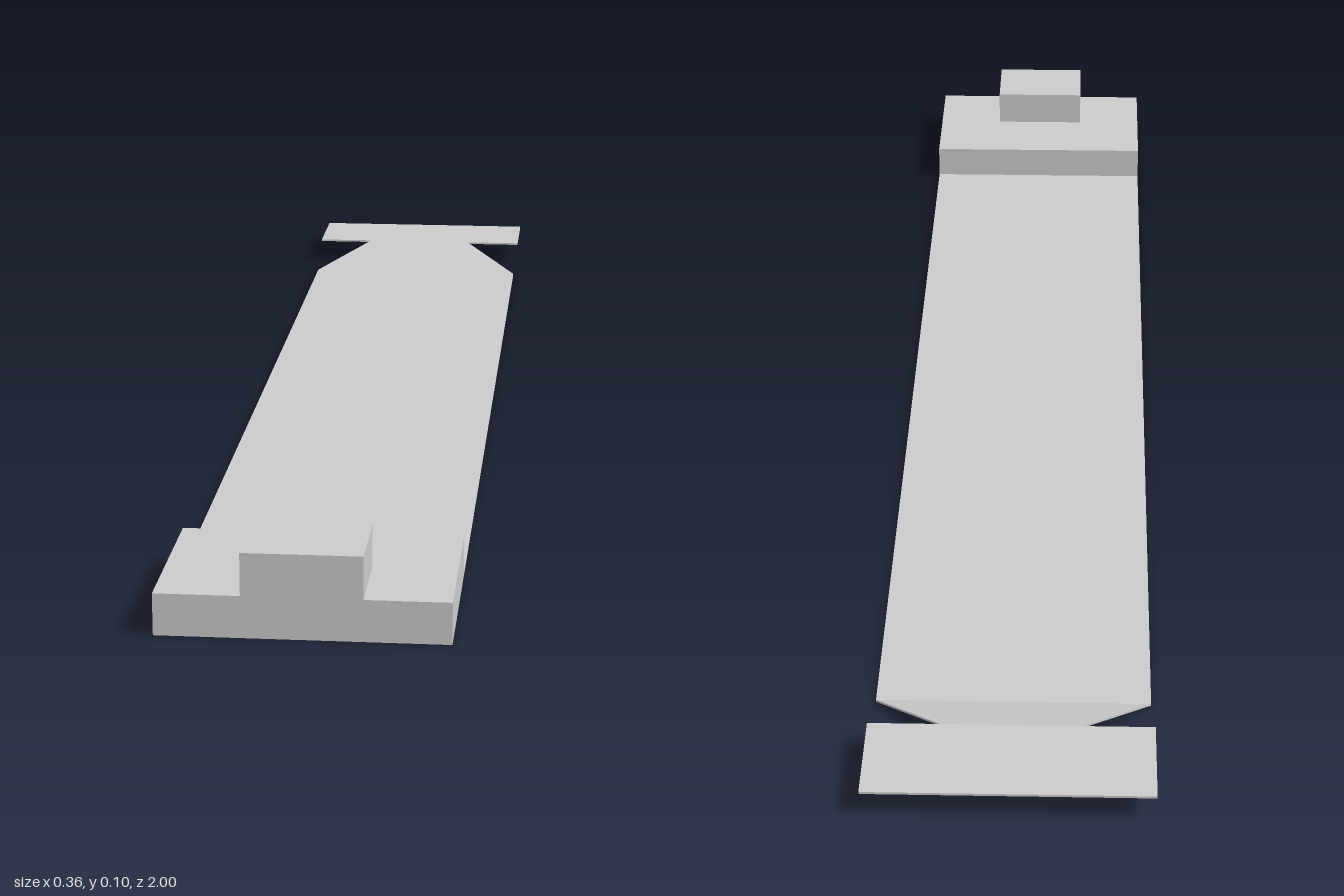
import * as THREE from 'three';

const material = new THREE.MeshStandardMaterial({ color: 0xcccccc, flatShading: true });
const SHEET = 0.003; // thickness of the sheet parts

// Box given by its width, its bottom and top, and its back and front
function block(name, width, y0, y1, z0, z1) {
  const geometry = new THREE.BoxGeometry(width, y1 - y0, z1 - z0);
  geometry.translate(0, (y0 + y1) / 2, (z0 + z1) / 2);
  const mesh = new THREE.Mesh(geometry, material);
  mesh.name = name;
  return mesh;
}

export function createModel() {
  const model = new THREE.Group();
  model.name = 'strapWithClasp';

  // Long flat strip and the raised cross tab at its back end
  const strip = block('strip', 0.35, 0, SHEET, -0.772, 1);
  const tab = block('endTab', 0.357, 0.034, 0.034 + SHEET, -1, -0.865);

  // Sloping neck: a flat piece narrowed and lifted at its back edge
  const neck = block('neck', 0.35, 0, SHEET, -0.865, -0.772);
  const p = neck.geometry.attributes.position;
  for (let i = 0; i < p.count; i++) {
    if (p.getZ(i) < -0.82) {
      p.setX(i, Math.sign(p.getX(i)) * 0.088);
      p.setY(i, p.getY(i) + 0.034);
    }
  }
  neck.geometry.computeVertexNormals();

  // Stepped block at the front end
  const base = block('frontBlock', 0.35, 0, 0.052, 0.77, 1);
  const knob = block('frontKnob', 0.144, 0.052, 0.105, 0.888, 1);

  model.add(strip, neck, tab, base, knob);
  return model;
}
